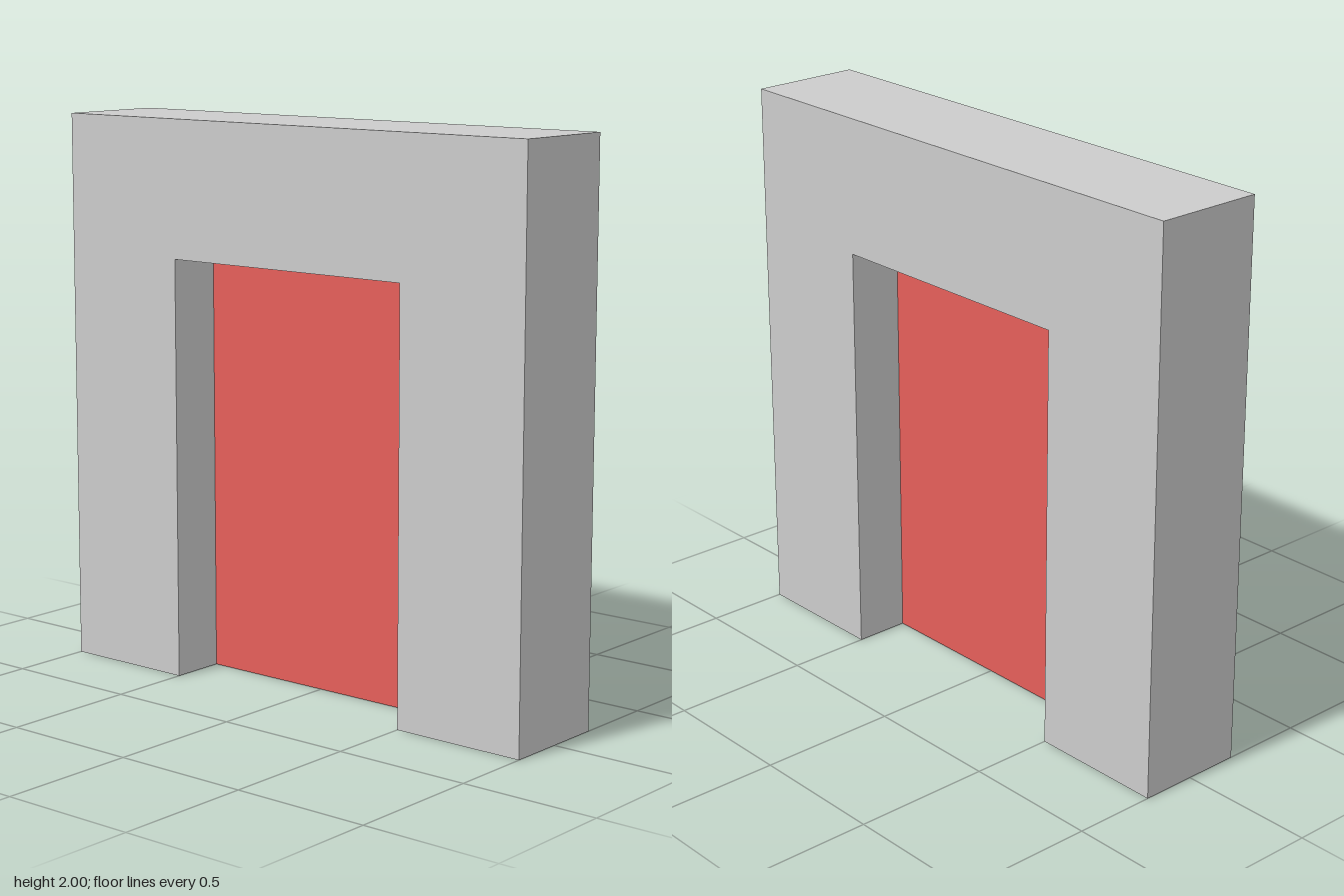
import * as THREE from 'three';

const WIDTH = 2, HEIGHT = 2, DEPTH = 0.4;
const OPENING_WIDTH = 1, OPENING_HEIGHT = 1.51;

export function createModel() {
  const model = new THREE.Group();
  model.name = 'doorway';

  // Wall: an upside-down U outline, extruded through its depth
  const w = WIDTH / 2, o = OPENING_WIDTH / 2;
  const outline = new THREE.Shape([
    [-w, 0], [-o, 0], [-o, OPENING_HEIGHT], [o, OPENING_HEIGHT],
    [o, 0], [w, 0], [w, HEIGHT], [-w, HEIGHT],
  ].map(([x, y]) => new THREE.Vector2(x, y)));
  const wallGeometry = new THREE.ExtrudeGeometry(outline, { depth: DEPTH, bevelEnabled: false });
  wallGeometry.translate(0, 0, -DEPTH / 2);
  const wall = new THREE.Mesh(wallGeometry, new THREE.MeshStandardMaterial({ color: 0xcccccc }));
  wall.name = 'wall';
  model.add(wall);

  // Door: a thin sheet halfway through the opening, seen from both sides
  const door = new THREE.Mesh(
    new THREE.PlaneGeometry(OPENING_WIDTH, OPENING_HEIGHT),
    new THREE.MeshStandardMaterial({ color: 0xe65f5a, side: THREE.DoubleSide }),
  );
  door.position.y = OPENING_HEIGHT / 2;
  door.name = 'doorPanel';
  model.add(door);

  return model;
}
